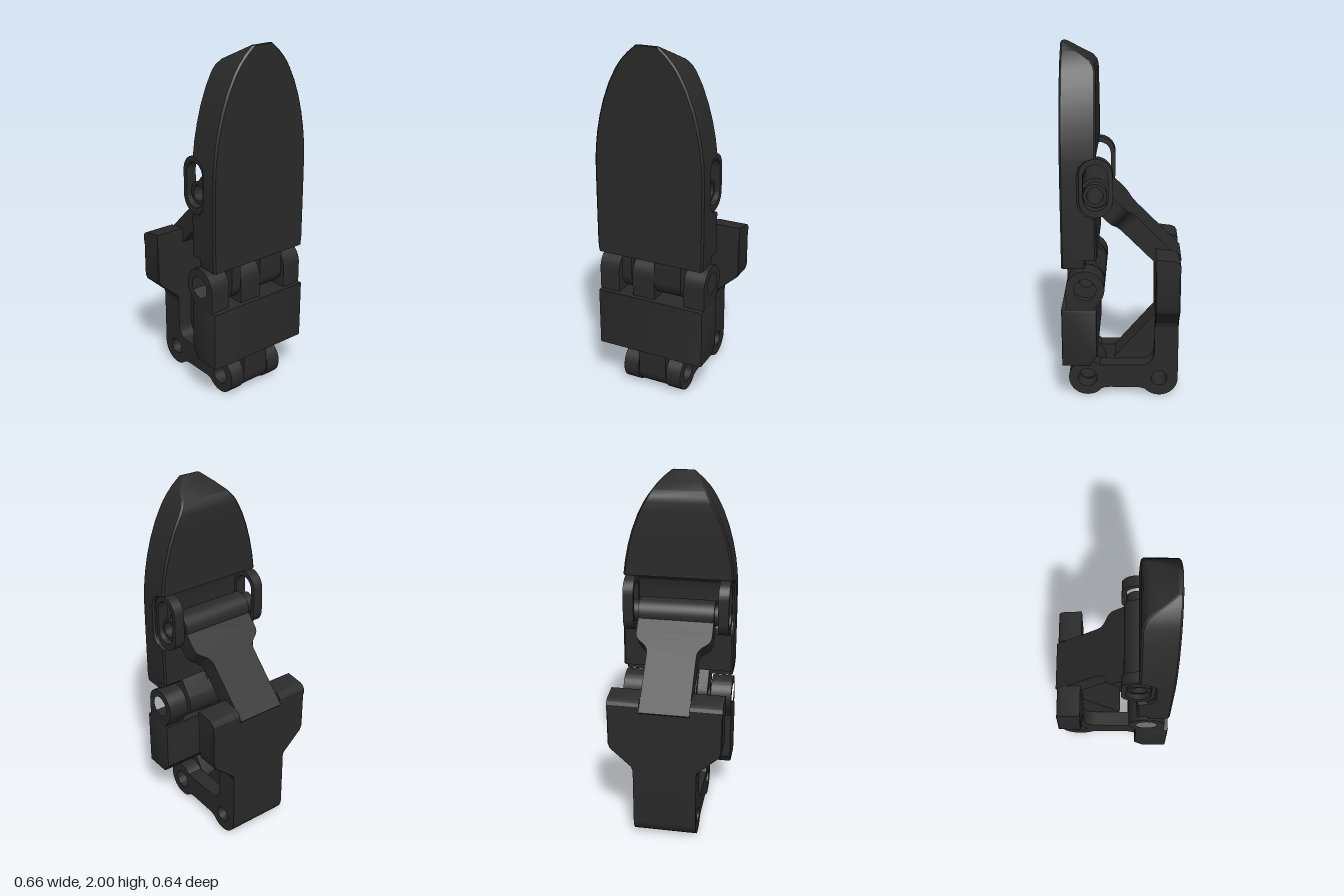
import * as THREE from 'three';
import { toCreasedNormals } from 'three/addons/utils/BufferGeometryUtils.js';

const material = new THREE.MeshStandardMaterial({ color: 0x2a2a2a });

function add(group, name, geometry) {
  const mesh = new THREE.Mesh(toCreasedNormals(geometry, 0.5), material);
  mesh.name = name;
  group.add(mesh);
}

// Extrude an x-y shape from z0 to z1, with a small optional edge bevel.
function slab(shape, z0, z1, b = 0) {
  const g = new THREE.ExtrudeGeometry(shape, {
    depth: z1 - z0 - 2 * b, curveSegments: 20,
    bevelEnabled: b > 0, bevelSize: b, bevelThickness: b, bevelOffset: -b, bevelSegments: 2,
  });
  return g.translate(0, 0, z0 + b);
}

function polygon(points) {
  return new THREE.Shape(points.map(([x, y]) => new THREE.Vector2(x, y)));
}

function addHole(shape, x, y, r) {
  shape.holes.push(new THREE.Path().absarc(x, y, r, 0, Math.PI * 2, true));
  return shape;
}

function ring(x, y, r, hole) {
  return addHole(new THREE.Shape().absarc(x, y, r, 0, Math.PI * 2, false), x, y, hole);
}

// Hinge eye with a stem reaching up or down to yEnd.
function lug(cx, cy, r, hole, x0, yEnd) {
  const s = new THREE.Shape().moveTo(cx + r, yEnd).lineTo(x0, yEnd);
  if (yEnd > cy) s.absarc(cx, cy, r, 2.6, Math.PI * 2, false);
  else s.absarc(cx, cy, r, -2.6, 0, true);
  return addHole(s, cx, cy, hole);
}

// Upright body from chamfered rectangles: rows of [y, back x, front x, half width].
function loft(rows, c = 0.01) {
  const pos = [], idx = [], n = 8;
  for (const [y, b, f, w] of rows) {
    const pts = [[f, -w + c], [f, w - c], [f - c, w], [b + c, w], [b, w - c], [b, -w + c], [b + c, -w], [f - c, -w]];
    for (const [x, z] of pts) pos.push(x, y, z);
  }
  for (let i = 0; i < rows.length - 1; i++) {
    for (let j = 0; j < n; j++) {
      const a = i * n + j, d = i * n + (j + 1) % n;
      idx.push(a, a + n, d, d, a + n, d + n);
    }
  }
  const t = (rows.length - 1) * n;
  for (let j = 1; j < n - 1; j++) idx.push(0, j, j + 1, t, t + j + 1, t + j);
  const g = new THREE.BufferGeometry();
  g.setAttribute('position', new THREE.Float32BufferAttribute(pos, 3));
  g.setIndex(idx);
  return g;
}

// L-shaped side plate of the base bracket with two hinge eyes.
function sidePlateShape() {
  const s = new THREE.Shape().moveTo(-0.325, 0.5).lineTo(-0.325, 0.11);
  s.absarc(-0.218, 0.11, 0.107, Math.PI, Math.PI * 2 - 0.75, false);
  s.quadraticCurveTo(-0.12, 0.05, -0.08, 0.05).lineTo(0.06, 0.05);
  s.quadraticCurveTo(0.1, 0.05, 0.117, 0.037);
  s.absarc(0.193, 0.11, 0.107, Math.PI + 0.75, Math.PI * 2 + 2.3, false);
  s.quadraticCurveTo(0.1, 0.19, 0.06, 0.19).lineTo(-0.12, 0.19);
  s.quadraticCurveTo(-0.19, 0.2, -0.19, 0.28).lineTo(-0.19, 0.5);
  return addHole(addHole(s, -0.218, 0.11, 0.045), 0.193, 0.11, 0.055);
}

export function createModel() {
  const model = new THREE.Group();
  model.name = 'hingedFinger';

  // Fingertip pad with an arched outline, sloped tip and a rounded recess behind
  const F = 0.32;
  add(model, 'fingertipPad', loft([
    [0.83, 0.19, F, 0.315], [0.88, 0.19, F, 0.32], [0.88, 0.13, F, 0.32],
    [1.11, 0.13, F, 0.32], [1.125, 0.18, F, 0.32], [1.16, 0.212, F, 0.32],
    [1.2, 0.22, F, 0.32], [1.35, 0.22, F, 0.319], [1.39, 0.21, F, 0.317],
    [1.42, 0.18, F, 0.315], [1.435, 0.13, F, 0.314], [1.52, 0.13, F, 0.303],
    [1.61, 0.13, F, 0.285], [1.7, 0.13, F, 0.26], [1.79, 0.13, F, 0.226],
    [1.86, 0.13, F, 0.19], [1.89, 0.137, F, 0.172], [1.92, 0.16, F, 0.15],
    [1.96, 0.23, F, 0.112], [2.0, 0.295, F, 0.065],
  ]));

  // Hinge eyes under the pad
  for (const [z0, z1] of [[0.12, 0.18], [-0.18, -0.02]]) {
    add(model, 'padHingeEye', slab(lug(0.193, 0.71, 0.105, 0.042, 0.18, 0.87), z0, z1));
  }

  // Lower finger segment with its hinge eyes
  add(model, 'lowerSegment', slab(polygon([
    [0.13, 0.59], [0.325, 0.59], [0.325, 0.252], [0.175, 0.252], [0.13, 0.31],
  ]), -0.322, 0.322, 0.01));
  for (const [z0, z1, hole] of [[0.2, 0.32, 0.06], [-0.02, 0.115, 0.042], [-0.32, -0.2, 0.06]]) {
    add(model, 'segmentUpperEye', slab(lug(0.193, 0.71, 0.105, hole, 0.16, 0.57), z0, z1));
  }
  add(model, 'segmentLowerEye', slab(lug(0.193, 0.11, 0.1, 0.05, 0.19, 0.28), -0.085, 0.085));

  // Slotted guide plates on the pad
  const cx = 0.133;
  for (const s of [-1, 1]) {
    const guide = new THREE.Shape().absarc(cx, 1.34, 0.092, 0, Math.PI, false)
      .absarc(cx, 1.205, 0.092, Math.PI, Math.PI * 2, false);
    guide.holes.push(new THREE.Path().absarc(cx, 1.335, 0.066, 0, Math.PI, false)
      .absarc(cx, 1.215, 0.066, Math.PI, Math.PI * 2, false));
    add(model, 'guideSlot', slab(guide, s * 0.27 - 0.03, s * 0.27 + 0.03));
  }

  // Base bracket: side plates, centre web and flared back plate
  for (const z0 of [-0.18, 0.09]) {
    add(model, 'bracketSidePlate', slab(sidePlateShape(), z0, z0 + 0.09));
  }
  const web = new THREE.Shape().moveTo(-0.325, 0.5).lineTo(-0.325, 0.11)
    .absarc(-0.218, 0.11, 0.107, Math.PI, Math.PI * 2 - 0.3, false)
    .lineTo(0.03, 0.12).lineTo(0.04, 0.2).lineTo(-0.19, 0.47).lineTo(-0.19, 0.5);
  add(model, 'bracketWeb', slab(addHole(web, -0.218, 0.11, 0.045), -0.09, 0.09));
  add(model, 'bracketBackPlate', loft([
    [0.43, -0.325, -0.19, 0.18], [0.46, -0.325, -0.19, 0.19], [0.57, -0.325, -0.19, 0.31],
    [0.6, -0.325, -0.19, 0.32], [0.82, -0.325, -0.19, 0.32],
  ], 0.005));

  // Raised wing tops on both sides of the arm
  const wing = polygon([
    [-0.325, 0.81], [-0.325, 0.845], [-0.315, 0.862], [-0.295, 0.873], [-0.19, 0.885], [-0.19, 0.81],
  ]);
  for (const z0 of [-0.32, 0.14]) add(model, 'bracketWingTop', slab(wing, z0, z0 + 0.18));

  // Diagonal arm growing out of the back plate and flaring toward the barrel
  const arm = new THREE.Shape().moveTo(-0.08, -0.14).lineTo(0.26, -0.14)
    .bezierCurveTo(0.34, -0.14, 0.32, -0.215, 0.39, -0.215).lineTo(0.49, -0.215)
    .lineTo(0.49, 0.215).lineTo(0.39, 0.215)
    .bezierCurveTo(0.32, 0.215, 0.34, 0.14, 0.26, 0.14).lineTo(-0.08, 0.14);
  const armGeometry = slab(arm, -0.053, 0.062).rotateX(-Math.PI / 2)
    .rotateZ(Math.PI / 4).translate(-0.235, 0.83, 0);
  add(model, 'diagonalArm', armGeometry);

  // Barrel and the hollow pin sliding in the guides
  add(model, 'armBarrel', slab(ring(cx + 0.003, 1.225, 0.082, 0.045), -0.215, 0.215));
  add(model, 'slidingPin', slab(ring(cx + 0.003, 1.225, 0.063, 0.045), -0.275, 0.275));

  return model;
}
